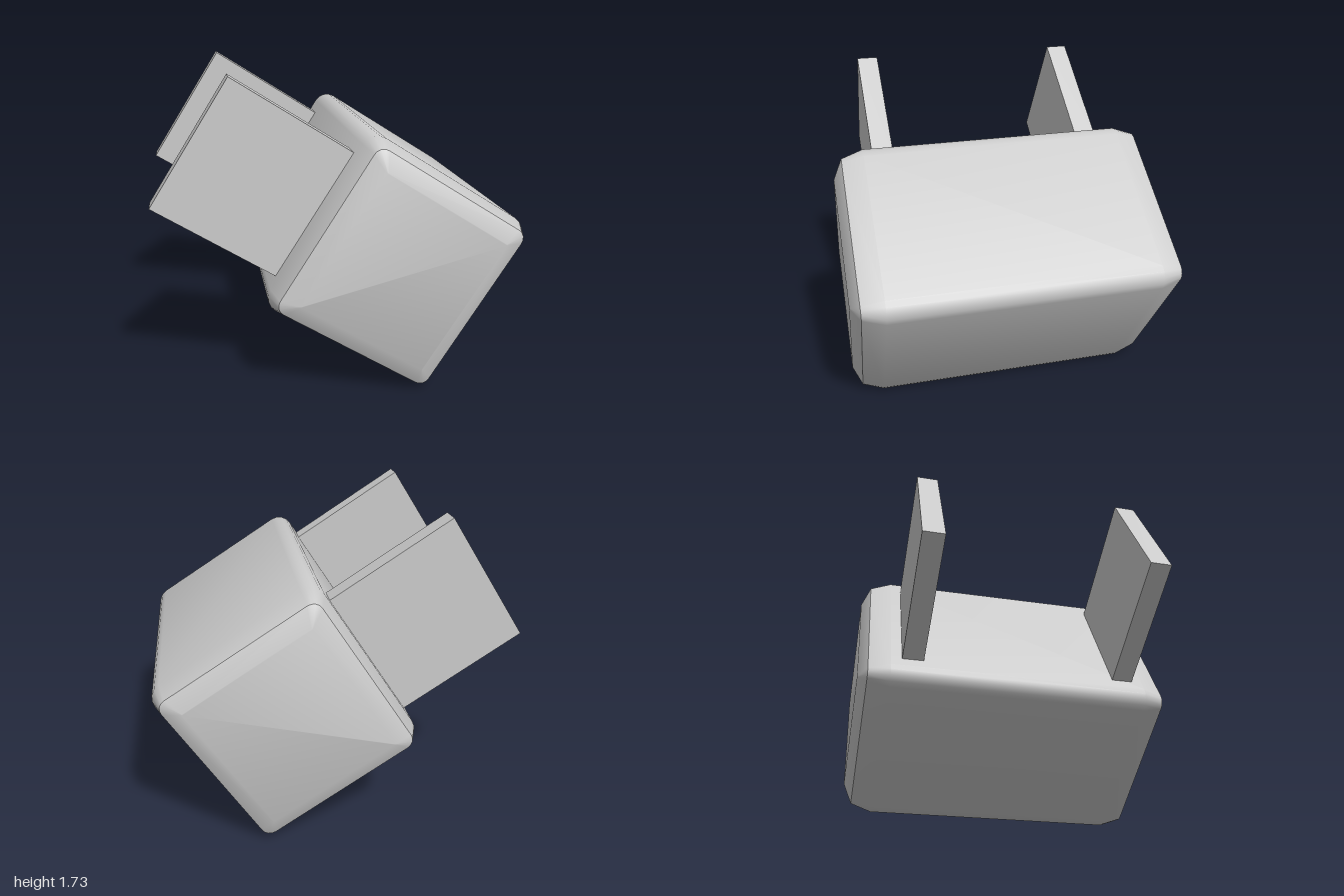
import * as THREE from 'three';
import { toCreasedNormals } from 'three/addons/utils/BufferGeometryUtils.js';

const HALF_W = 0.525, HALF_H = 0.545, STEPS = 4;

// Rounded rectangle, inset from the full outline, counter-clockwise
function outline(inset, radius) {
  const points = [];
  const w = HALF_W - inset - radius, h = HALF_H - inset - radius;
  [[1, 1], [-1, 1], [-1, -1], [1, -1]].forEach(([sx, sy], corner) => {
    for (let i = 0; i <= STEPS; i++) {
      const a = (corner + i / STEPS) * Math.PI / 2;
      points.push([sx * w + radius * Math.cos(a), sy * h + radius * Math.sin(a)]);
    }
  });
  return points;
}

// Bevelled block lofted along z from mirrored sections: [z, inset, corner radius]
function housingGeometry() {
  const half = [[0.73, 0, 0.09], [0.85, 0.04, 0.055], [0.9, 0.134, 0.005]];
  const sections = [...half.map(([z, i, r]) => [-z, i, r]).reverse(), ...half];
  const n = 4 * (STEPS + 1);
  const positions = [], index = [];
  for (const [z, inset, radius] of sections) {
    for (const [x, y] of outline(inset, radius)) positions.push(x, y, z);
  }
  for (let s = 0; s < sections.length - 1; s++) {
    for (let i = 0; i < n; i++) {
      const a = s * n + i, b = s * n + (i + 1) % n;
      index.push(a, b, b + n, a, b + n, a + n);
    }
  }
  // flat end caps
  const last = (sections.length - 1) * n;
  for (let i = 1; i < n - 1; i++) {
    index.push(0, i + 1, i);
    index.push(last, last + i, last + i + 1);
  }
  const geometry = new THREE.BufferGeometry();
  geometry.setAttribute('position', new THREE.Float32BufferAttribute(positions, 3));
  geometry.setIndex(index);
  return toCreasedNormals(geometry, THREE.MathUtils.degToRad(40));
}

export function createModel() {
  const model = new THREE.Group();
  model.name = 'plug';
  const material = new THREE.MeshStandardMaterial({ color: 0xcccccc });

  // whole plug is tilted, prongs pointing up to the side
  const tilted = new THREE.Group();
  tilted.name = 'tiltedPlug';
  tilted.position.set(0.294, 0.71, 0);
  tilted.rotation.z = THREE.MathUtils.degToRad(-32.5);
  model.add(tilted);

  const housing = new THREE.Mesh(housingGeometry(), material);
  housing.name = 'housing';
  tilted.add(housing);

  // two flat prongs sunk slightly into the housing
  const prongGeometry = new THREE.BoxGeometry(0.79, 0.782, 0.12);
  for (const side of [1, -1]) {
    const prong = new THREE.Mesh(prongGeometry, material);
    prong.name = side > 0 ? 'frontProng' : 'backProng';
    prong.position.set(-1.283 + 0.395, 0, side * 0.61);
    tilted.add(prong);
  }
  return model;
}
